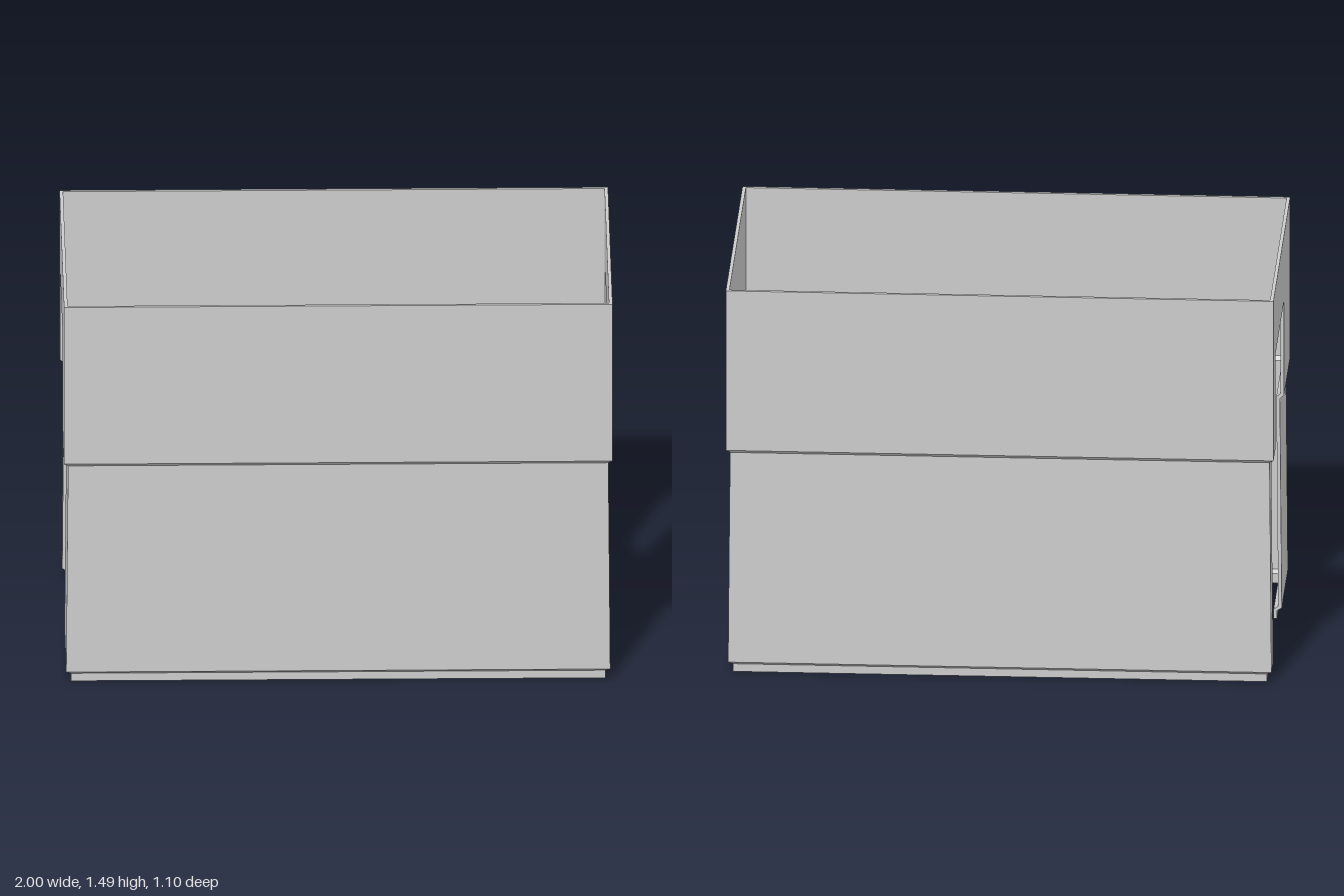
import * as THREE from 'three';

const HALF_X = 1, HALF_Z = 0.55, THICK = 0.013;

// Wall section, bottom to top: [height, inset from the outer box, rise beside the window, rise of inner face]
const ROWS = [
  [0, 0.025, 0, 0],
  [0.03, 0.025, 0.012, 0.006],
  [0.042, 0.008, 0.002, 0.006],
  [0.41, 0.011, 0, 0],
  [0.855, 0.015, 0.01, 0.007],
  [0.868, 0, 0, 0.007],
  [1.235, 0, 0, 0],
  [1.488, 0, 0, 0],
];

// One sheet wall as a grid of cells; hole = [first row, end row] cut from the middle column
function wall(name, { dist, half, stops = [], hole, place, flip, rise = 0 }) {
  const pos = [];
  const cols = stops.length + 1, rows = ROWS.length - 1;
  const solid = (c, r) => r >= 0 && r < rows && !(hole && c === 1 && r >= hole[0] && r < hole[1]);
  const point = (c, r, inner) => {
    const [y, inset, lift, innerLift] = ROWS[r];
    const d = inset + (inner ? THICK : 0);
    const t = c === 0 ? -half + d : c === cols ? half - d : stops[c - 1];
    const up = (c > 0 && c < cols ? lift * rise : 0) + (inner ? innerLift : 0);
    const [x, z] = place(t, dist - d);
    return [x, y + up, z];
  };
  const quad = (a, b, c, d) => {
    const q = flip ? [a, c, b, a, d, c] : [a, b, c, a, c, d];
    q.forEach((p) => pos.push(...p));
  };
  for (let c = 0; c < cols; c++) {
    for (let r = 0; r < rows; r++) {
      if (!solid(c, r)) continue;
      const corners = [[c, r], [c + 1, r], [c + 1, r + 1], [c, r + 1]];
      const o = corners.map(([i, j]) => point(i, j, false));
      const n = corners.map(([i, j]) => point(i, j, true));
      quad(o[0], o[1], o[2], o[3]);
      quad(n[1], n[0], n[3], n[2]);
      // rims along the top, the bottom and around openings
      if (!solid(c, r + 1)) quad(o[3], o[2], n[2], n[3]);
      if (!solid(c, r - 1)) quad(o[1], o[0], n[0], n[1]);
      if (c > 0 && !solid(c - 1, r)) quad(o[0], o[3], n[3], n[0]);
      if (c < cols - 1 && !solid(c + 1, r)) quad(o[2], o[1], n[1], n[2]);
    }
  }
  const geometry = new THREE.BufferGeometry();
  geometry.setAttribute('position', new THREE.Float32BufferAttribute(pos, 3));
  geometry.computeVertexNormals();
  const mesh = new THREE.Mesh(geometry, new THREE.MeshStandardMaterial({ color: 0xcccccc, flatShading: true }));
  mesh.name = name;
  return mesh;
}

export function createModel() {
  const group = new THREE.Group();
  group.name = 'roomShell';
  const long = { dist: HALF_Z, half: HALF_X };
  const short = { dist: HALF_X, half: HALF_Z };
  group.add(
    wall('frontWall', { ...long, place: (t, d) => [t, d], flip: false }),
    wall('backWall', { ...long, place: (t, d) => [t, -d], flip: true }),
    // window opening
    wall('windowWall', {
      ...short, stops: [-0.465, -0.11], hole: [3, 6], rise: 1,
      place: (t, d) => [d, t], flip: true,
    }),
    // doorway reaching the ground
    wall('doorWall', {
      ...short, stops: [-0.43, 0.14], hole: [0, 6],
      place: (t, d) => [-d, t], flip: false,
    }),
  );
  return group;
}
